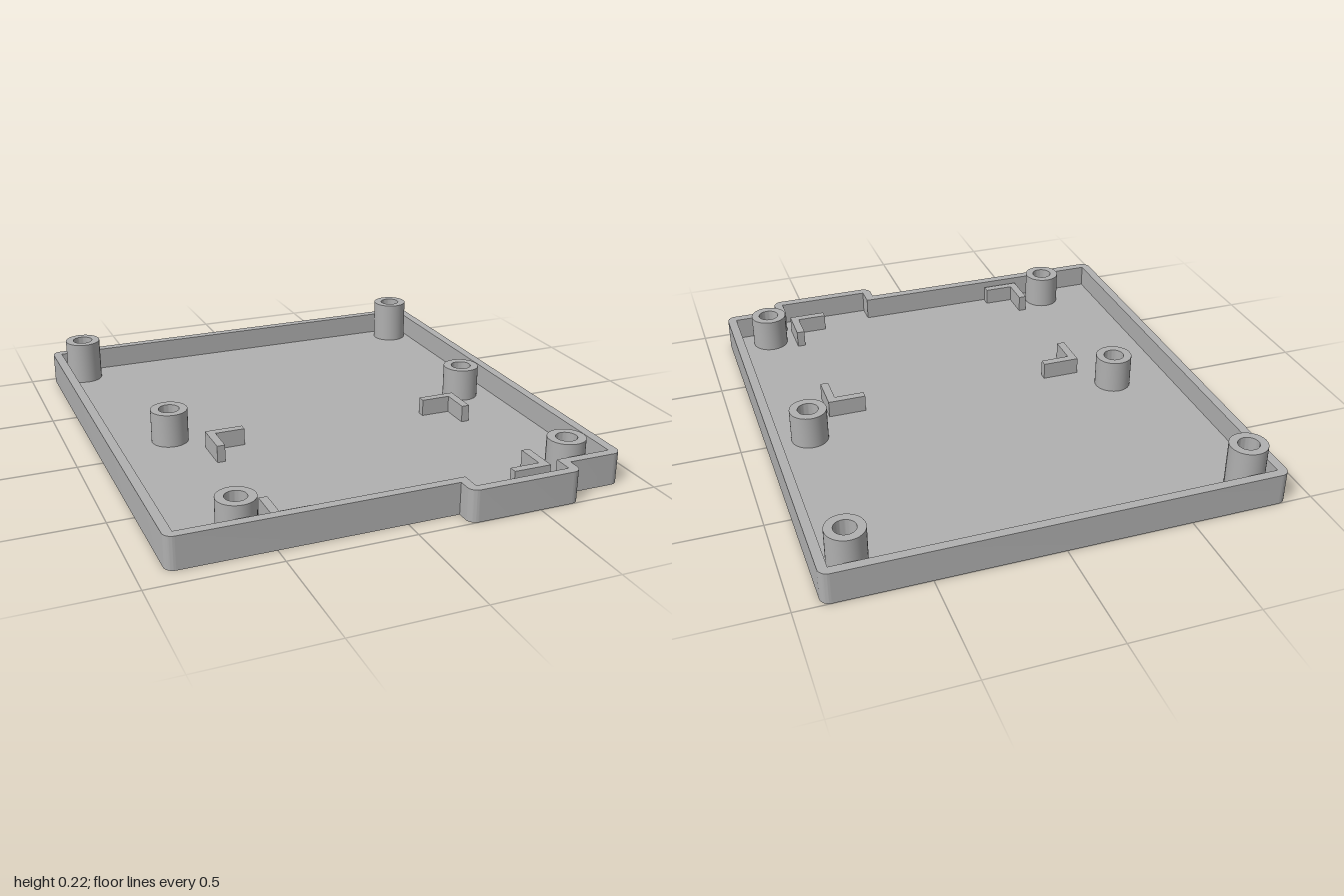
import * as THREE from 'three';
import { toCreasedNormals } from 'three/addons/utils/BufferGeometryUtils.js';

const WALL = 0.037, FLOOR = 0.037, RIM = 0.13;
const grey = new THREE.MeshStandardMaterial({ color: 0xb0b0b0 });
grey.name = 'grey plastic';

// Inside edge of the tray as [x, -z], counter-clockwise, with the front tab
const inner = [
  [-0.86, -0.883], [0.243, -0.883], [0.243, -0.963], [0.631, -0.963],
  [0.631, -0.883], [0.86, -0.883], [0.86, 0.963], [-0.86, 0.963],
].map(([x, y]) => new THREE.Vector2(x, y));

// Offset the inside edge outwards: convex corners round, concave corners sharp
function outerShape() {
  const shape = new THREE.Shape();
  inner.forEach((p, i) => {
    const n = inner.length;
    const d1 = p.clone().sub(inner[(i + n - 1) % n]).normalize();
    const d2 = inner[(i + 1) % n].clone().sub(p).normalize();
    const n1 = new THREE.Vector2(d1.y, -d1.x), n2 = new THREE.Vector2(d2.y, -d2.x);
    if (d1.cross(d2) > 0) {
      shape.absarc(p.x, p.y, WALL, n1.angle(), n2.angle(), false);
    } else {
      const c = p.clone().addScaledVector(n1, WALL).addScaledVector(n2, WALL);
      shape.lineTo(c.x, c.y);
    }
  });
  shape.closePath();
  return shape;
}

// Extrude a plan shape upwards from height y
function slab(name, shape, y, height) {
  const geo = new THREE.ExtrudeGeometry(shape, { depth: height, bevelEnabled: false, curveSegments: 10 });
  geo.rotateX(-Math.PI / 2);
  const mesh = new THREE.Mesh(toCreasedNormals(geo, 0.6), grey);
  mesh.name = name;
  mesh.position.y = y;
  return mesh;
}

// Hollow screw post standing on the floor
function post(name, x, z, top) {
  const profile = [[0.075, FLOOR], [0.075, top], [0.042, top], [0.042, FLOOR]]
    .map(([r, y]) => new THREE.Vector2(r, y));
  const mesh = new THREE.Mesh(toCreasedNormals(new THREE.LatheGeometry(profile, 40), 0.6), grey);
  mesh.name = name;
  mesh.position.set(x, 0, z);
  return mesh;
}

// L-shaped locating bracket; sx and sz give the directions of its arms
function bracket(name, x, z, sx, sz) {
  const L = 0.155, t = 0.033;
  const shape = new THREE.Shape([[0, 0], [L, 0], [L, t], [t, t], [t, L], [0, L]]
    .map(([a, b]) => new THREE.Vector2(a * sx, -b * sz)));
  const mesh = slab(name, shape, FLOOR, 0.07);
  mesh.position.x = x;
  mesh.position.z = z;
  return mesh;
}

export function createModel() {
  const model = new THREE.Group();
  model.name = 'tray';

  // Rim wall and floor
  const rim = outerShape();
  rim.holes.push(new THREE.Path(inner));
  model.add(slab('rimWall', rim, 0, RIM));
  model.add(slab('floor', new THREE.Shape(inner), 0, FLOOR));

  // Tall posts in the back corners
  for (const s of [-1, 1]) model.add(post('tallPost', s * 0.775, -0.88, 0.215));

  // Shorter posts in the middle and at the front
  for (const x of [-0.608, 0.724])
    for (const z of [-0.04, 0.8]) model.add(post('shortPost', x, z, 0.174));

  // Four brackets framing a square
  for (const [x, sx] of [[-0.497, 1], [0.614, -1]])
    for (const [z, sz] of [[0.087, 1], [0.873, -1]]) model.add(bracket('cornerBracket', x, z, sx, sz));

  return model;
}
